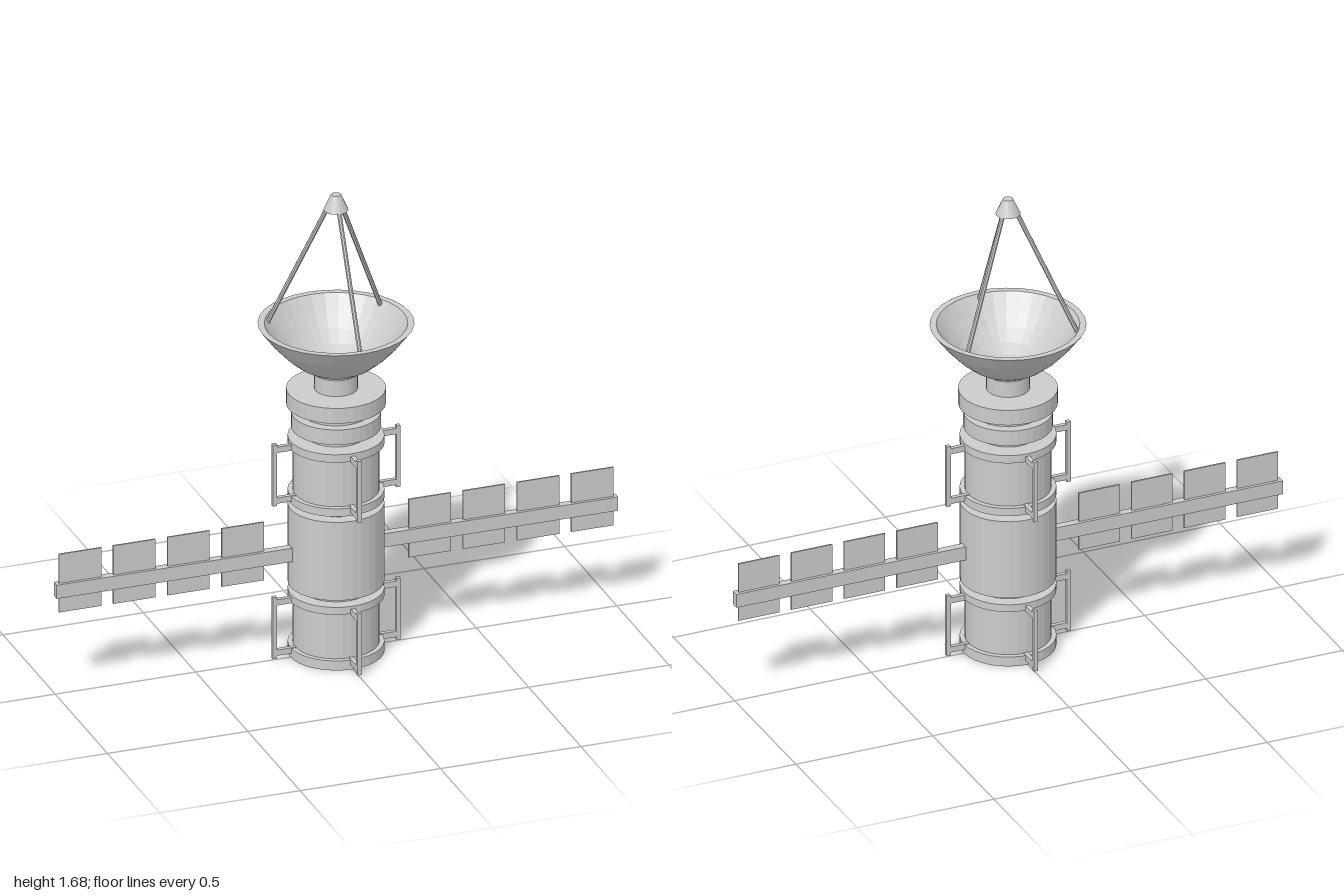
import * as THREE from 'three';

const grey = new THREE.MeshStandardMaterial({ color: 0xcccccc, flatShading: true });
const SIDES = 32;

function add(parent, name, geometry, x = 0, y = 0, z = 0) {
  const mesh = new THREE.Mesh(geometry, grey);
  mesh.name = name;
  mesh.position.set(x, y, z);
  parent.add(mesh);
  return mesh;
}

// Upright cylinder between two heights
function drum(parent, name, radius, y0, y1) {
  add(parent, name, new THREE.CylinderGeometry(radius, radius, y1 - y0, SIDES), 0, (y0 + y1) / 2, 0);
}

// Round rod between two points
function rod(parent, name, a, b, radius) {
  const mesh = add(parent, name, new THREE.CylinderGeometry(radius, radius, a.distanceTo(b), 8));
  mesh.position.copy(a).add(b).multiplyScalar(0.5);
  mesh.quaternion.setFromUnitVectors(new THREE.Vector3(0, 1, 0), b.clone().sub(a).normalize());
}

// Four grab handles around a module
function handles(parent, y0, y1, stubYs) {
  for (let i = 0; i < 4; i++) {
    const handle = new THREE.Group();
    handle.name = 'grabHandle';
    handle.rotation.y = i * Math.PI / 2;
    add(handle, 'handleBar', new THREE.BoxGeometry(0.015, y1 - y0, 0.015), 0.22, (y0 + y1) / 2, 0);
    for (const y of stubYs) add(handle, 'handleStub', new THREE.BoxGeometry(0.09, 0.021, 0.015), 0.175, y, 0);
    parent.add(handle);
  }
}

export function createModel() {
  const model = new THREE.Group();
  model.name = 'satellite';

  // Stacked body: name, radius, bottom, top
  const stack = [
    ['baseRing', 0.162, 0, 0.035],
    ['lowerModule', 0.145, 0.035, 0.207],
    ['lowerModuleRing', 0.162, 0.205, 0.232],
    ['lowerNeck', 0.118, 0.232, 0.258],
    ['mainModule', 0.162, 0.257, 0.545],
    ['middleNeck', 0.118, 0.545, 0.567],
    ['upperModuleBase', 0.162, 0.566, 0.595],
    ['upperModule', 0.145, 0.595, 0.767],
    ['upperModuleRing', 0.162, 0.765, 0.794],
    ['upperNeck', 0.1, 0.794, 0.825],
    ['lowerDisc', 0.15, 0.825, 0.88],
    ['discNeck', 0.118, 0.88, 0.911],
    ['upperDisc', 0.167, 0.911, 0.967],
    ['dishMount', 0.073, 0.967, 1.025],
  ];
  for (const part of stack) drum(model, ...part);

  handles(model, 0.006, 0.232, [0.027, 0.212]);
  handles(model, 0.568, 0.794, [0.587, 0.774]);

  // Solar wings
  for (const side of [1, -1]) {
    const wing = new THREE.Group();
    wing.name = side > 0 ? 'leftWing' : 'rightWing';
    add(wing, 'boom', new THREE.BoxGeometry(0.86, 0.05, 0.028), side * 0.57, 0.382, 0);
    for (let i = 0; i < 4; i++) {
      add(wing, 'solarPanel', new THREE.BoxGeometry(0.15, 0.214, 0.006), side * (0.333 + i * 0.193), 0.407, 0);
    }
    model.add(wing);
  }

  // Parabolic dish with a thick rim: outer wall up, inner wall back down
  const outer = [], inner = [];
  for (let i = 0; i <= 6; i++) {
    const t = i / 6;
    outer.push(new THREE.Vector2(0.262 * t, 1.014 + 0.191 * t * t));
    inner.unshift(new THREE.Vector2(0.24 * t, 1.03 + 0.175 * t * t));
  }
  add(model, 'dish', new THREE.LatheGeometry([...outer, ...inner], SIDES));

  // Feed tripod and cap
  for (let i = 0; i < 3; i++) {
    const a = i * Math.PI * 2 / 3;
    const foot = new THREE.Vector3(Math.sin(a) * 0.234, 1.185, Math.cos(a) * 0.234);
    const head = new THREE.Vector3(Math.sin(a) * 0.025, 1.635, Math.cos(a) * 0.025);
    rod(model, 'feedStrut', foot, head, 0.008);
  }
  add(model, 'feedCap', new THREE.CylinderGeometry(0.017, 0.042, 0.055, 16), 0, 1.65, 0);

  return model;
}
